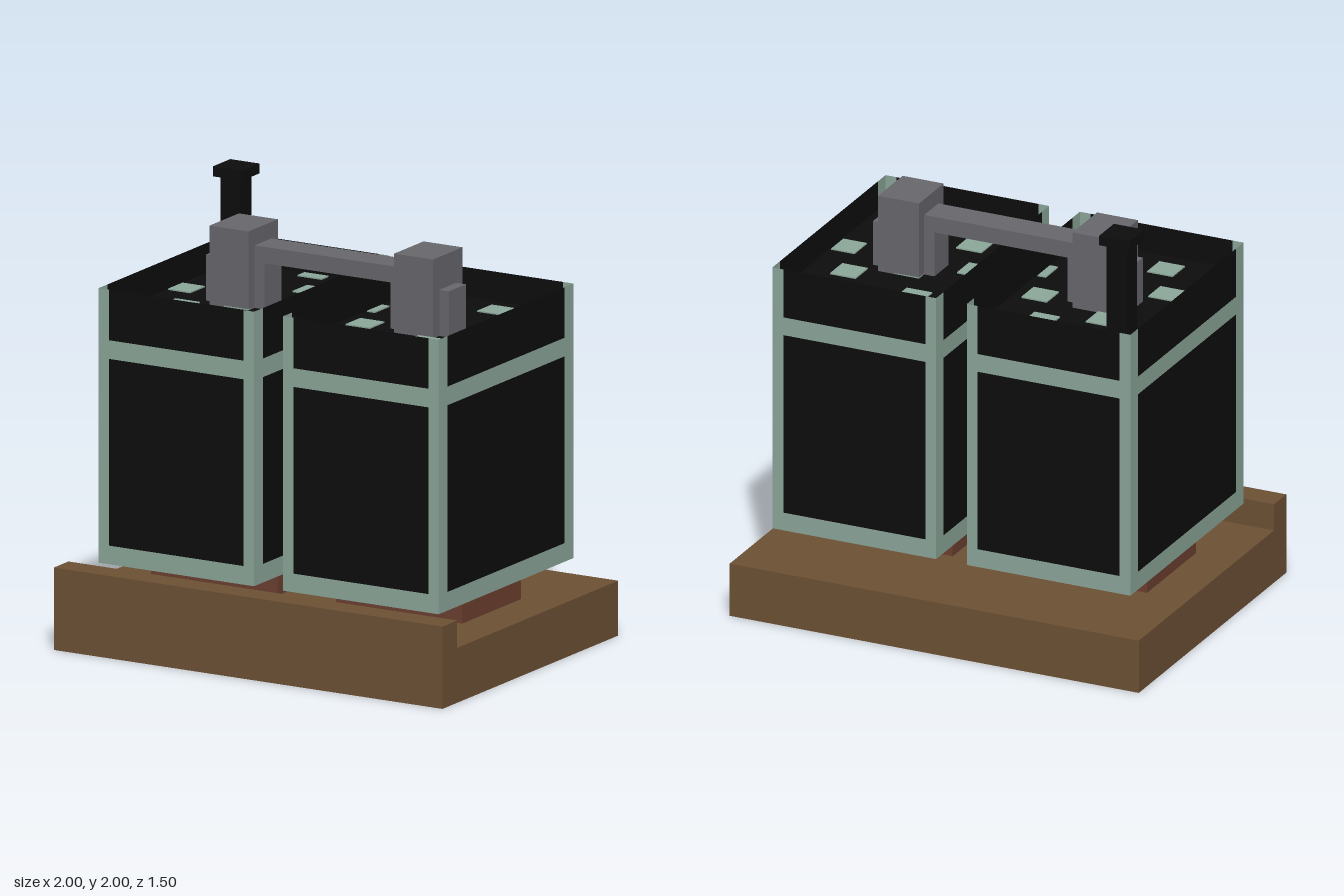
import * as THREE from 'three';

const material = (name, color, side = THREE.FrontSide) => {
  const m = new THREE.MeshStandardMaterial({ color, side });
  m.name = name;
  return m;
};

// Box given by its two opposite corners
function box(parent, name, mat, [x0, y0, z0], [x1, y1, z1]) {
  const mesh = new THREE.Mesh(new THREE.BoxGeometry(x1 - x0, y1 - y0, z1 - z0), mat);
  mesh.position.set((x0 + x1) / 2, (y0 + y1) / 2, (z0 + z1) / 2);
  mesh.name = name;
  parent.add(mesh);
  return mesh;
}

const rect = (x0, y0, x1, y1) =>
  [[x0, y0], [x1, y0], [x1, y1], [x0, y1]].map(p => new THREE.Vector2(...p));

// Checker cells on the tank lids, in steps of 0.125
const CELL = 0.125;
const cellsRight = [[-6, -4], [-4, -5], [-3, -3], [-1, -4], [-5, -2], [-7, -1], [-2, -1],
  [-4, 0], [-1, 1], [-6, 1], [-3, 2], [-5, 3], [-2, 4], [-7, 4]];
const cellsLeft = [[4, -4], [6, -5], [2, -3], [0, -2], [5, -2], [3, -1], [1, 0], [6, 0],
  [4, 1], [2, 2], [0, 3], [5, 3], [1, 4]];

const BOTTOM = 0.375, TOP = 1.625, LID = 1.49;
const HALF_W = 0.4, HALF_D = 0.575, CENTRE = 0.475;

export function createModel() {
  const wood = material('wood brown', 0x6e5235);
  const brick = material('red brown', 0x6e4030);
  const steel = material('grey metal', 0x69696e);
  const black = material('black', 0x0d0d0d, THREE.DoubleSide);
  const mint = material('pale green', 0x8da99c, THREE.DoubleSide);

  const model = new THREE.Group();
  model.name = 'twinTanks';

  // Wooden base with a raised front lip
  box(model, 'base', wood, [-1, 0, -0.75], [1, 0.25, 0.75]);
  box(model, 'frontLip', wood, [-1, 0.25, 0.625], [1, 0.375, 0.75]);

  // One tank wall: green frame around a window and an open-topped upper panel
  function wall(name, half, post) {
    const group = new THREE.Group();
    group.name = name;
    const p = half - post;
    const frame = new THREE.Shape([
      [-half, BOTTOM], [half, BOTTOM], [half, TOP], [p, TOP], [p, 1.395],
      [-p, 1.395], [-p, TOP], [-half, TOP],
    ].map(q => new THREE.Vector2(...q)));
    const window = rect(-p, 0.46, p, 1.31);
    frame.holes.push(new THREE.Path(window));
    const panels = [new THREE.Shape(window), new THREE.Shape(rect(-p, 1.395, p, TOP))];
    const frameMesh = new THREE.Mesh(new THREE.ShapeGeometry(frame), mint);
    frameMesh.name = 'wallFrame';
    const panelMesh = new THREE.Mesh(new THREE.ShapeGeometry(panels), black);
    panelMesh.name = 'wallPanels';
    group.add(frameMesh, panelMesh);
    return group;
  }

  function tank(name, cx, cells) {
    const group = new THREE.Group();
    group.name = name;
    for (const s of [1, -1]) {
      const face = wall(s > 0 ? 'frontWall' : 'backWall', HALF_W, 0.053);
      face.position.set(cx, 0, s * HALF_D);
      face.rotation.y = s > 0 ? 0 : Math.PI;
      const side = wall(s > 0 ? 'leftWall' : 'rightWall', HALF_D, 0.075);
      side.position.set(cx + s * HALF_W, 0, 0);
      side.rotation.y = s * Math.PI / 2;
      group.add(face, side);
    }

    // Sunken lid and floor
    const x0 = cx - HALF_W, x1 = cx + HALF_W;
    for (const [part, y] of [['lid', LID], ['floor', BOTTOM + 0.003]]) {
      const plate = new THREE.Mesh(new THREE.PlaneGeometry(2 * HALF_W, 2 * HALF_D), black);
      plate.rotation.x = -Math.PI / 2;
      plate.position.set(cx, y, 0);
      plate.name = part;
      group.add(plate);
    }

    // Green squares on the lid, clipped to the tank
    const clamp = THREE.MathUtils.clamp;
    for (const [i, j] of cells) {
      const a = clamp(i * CELL, x0 + 0.01, x1 - 0.01);
      const b = clamp((i + 1) * CELL, x0 + 0.01, x1 - 0.01);
      const c = clamp(j * CELL, -0.56, 0.56), d = clamp((j + 1) * CELL, -0.56, 0.56);
      box(group, 'lidSquare', mint, [a, LID, c], [b, LID + 0.006, d]);
    }

    // Foot under the tank
    box(group, 'foot', brick, [cx - 0.325, 0.25, -0.25], [cx + 0.325, BOTTOM, 0.25]);
    model.add(group);
  }
  tank('rightTank', -CENTRE, cellsRight);
  tank('leftTank', CENTRE, cellsLeft);

  // Connecting pipe: a block and stub on each tank, joined by a bar
  const pipe = new THREE.Group();
  pipe.name = 'connectingPipe';
  model.add(pipe);
  for (const s of [1, -1]) {
    const span = (a, b) => (s > 0 ? [a, b] : [-b, -a]);
    const [b0, b1] = span(0.375, 0.575);
    box(pipe, 'pipeBlock', steel, [b0, LID, -0.125], [b1, 1.85, 0.125]);
    const [o0, o1] = span(0.575, 0.625);
    box(pipe, 'outerStub', steel, [o0, LID, -0.072], [o1, 1.7, 0.072]);
    const [i0, i1] = span(0.325, 0.375);
    box(pipe, 'innerStub', steel, [i0, LID, -0.072], [i1, 1.7, 0.072]);
  }
  box(pipe, 'pipeBar', steel, [-0.375, 1.7, -0.072], [0.375, 1.775, 0.072]);

  // Chimney on the right tank
  box(model, 'chimney', black, [-0.775, LID, -0.4], [-0.675, 1.955, -0.3]);
  box(model, 'chimneyCap', black, [-0.8, 1.955, -0.425], [-0.65, 2, -0.275]);

  return model;
}
